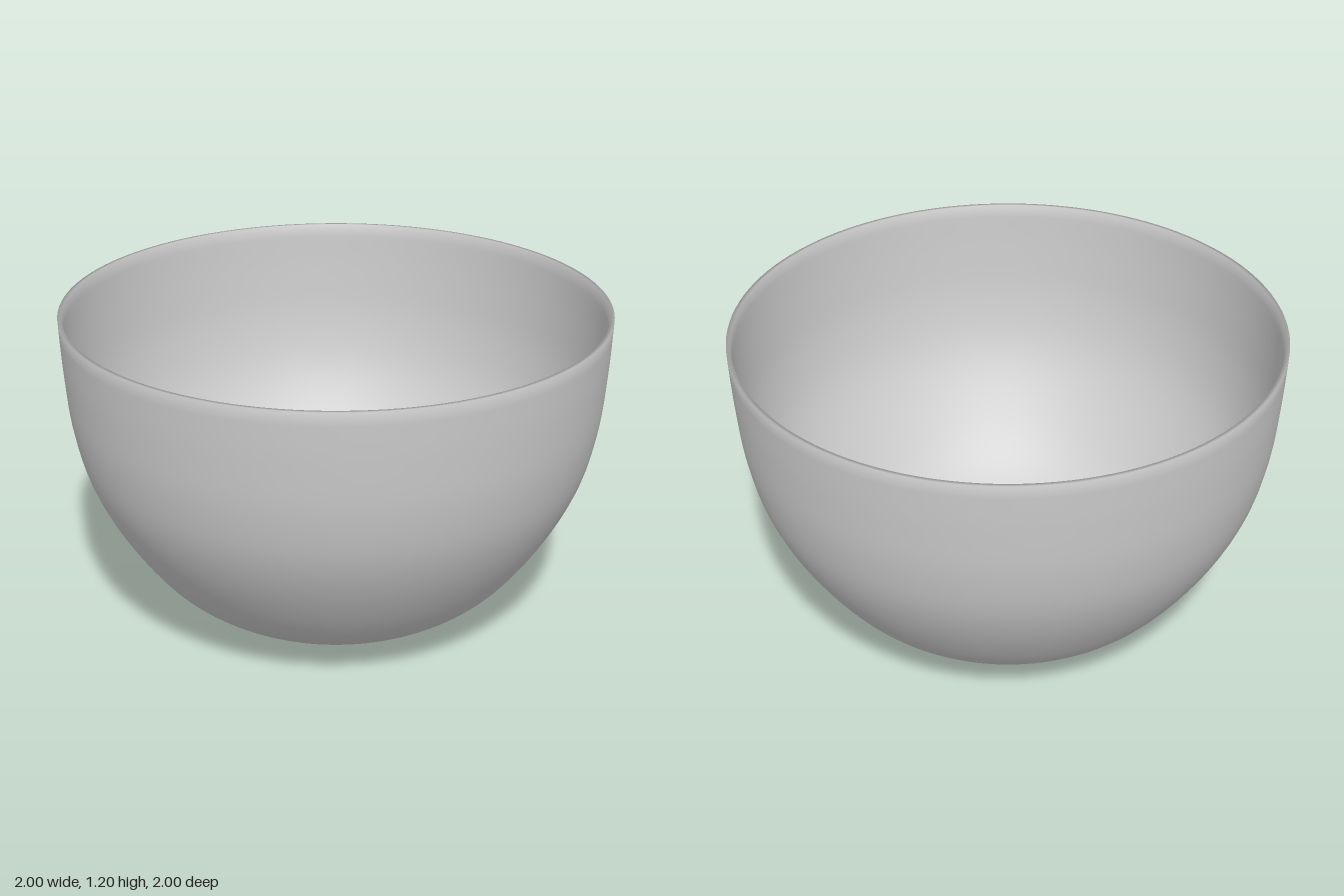
import * as THREE from 'three';

export function createModel() {
  const group = new THREE.Group();
  const material = new THREE.MeshStandardMaterial({ color: 0xcccccc });
  const segments = 128;
  const v = (x, y) => new THREE.Vector2(x, y);

  // Outer wall, from just above the foot up to just below the rim
  const outer = new THREE.SplineCurve([
    v(0.35, 0.03), v(0.5, 0.075), v(0.67, 0.2), v(0.82, 0.4), v(0.92, 0.6),
    v(0.97, 0.8), v(0.99, 1.0), v(0.998, 1.15),
  ]).getPoints(36);

  // Inner wall, from just below the rim down to the middle of the floor
  const inner = new THREE.SplineCurve([
    v(0.982, 1.15), v(0.973, 1.0), v(0.952, 0.8), v(0.9, 0.6), v(0.8, 0.41),
    v(0.655, 0.22), v(0.49, 0.1), v(0.33, 0.05), v(0.15, 0.03), v(0, 0.03),
  ]).getPoints(40);
  inner[inner.length - 1].x = 0;

  // One closed shell: foot, outer wall, softly shaded rim, inner wall
  const profile = [v(0.33, 0), ...outer, v(1, 1.2), v(0.985, 1.2), ...inner];
  const bowl = new THREE.Mesh(new THREE.LatheGeometry(profile, segments), material);
  bowl.name = 'bowl';
  group.add(bowl);

  // Flat underside of the foot
  const base = new THREE.Mesh(new THREE.CircleGeometry(0.33, segments), material);
  base.rotation.x = Math.PI / 2;
  base.name = 'footBase';
  group.add(base);

  return group;
}
